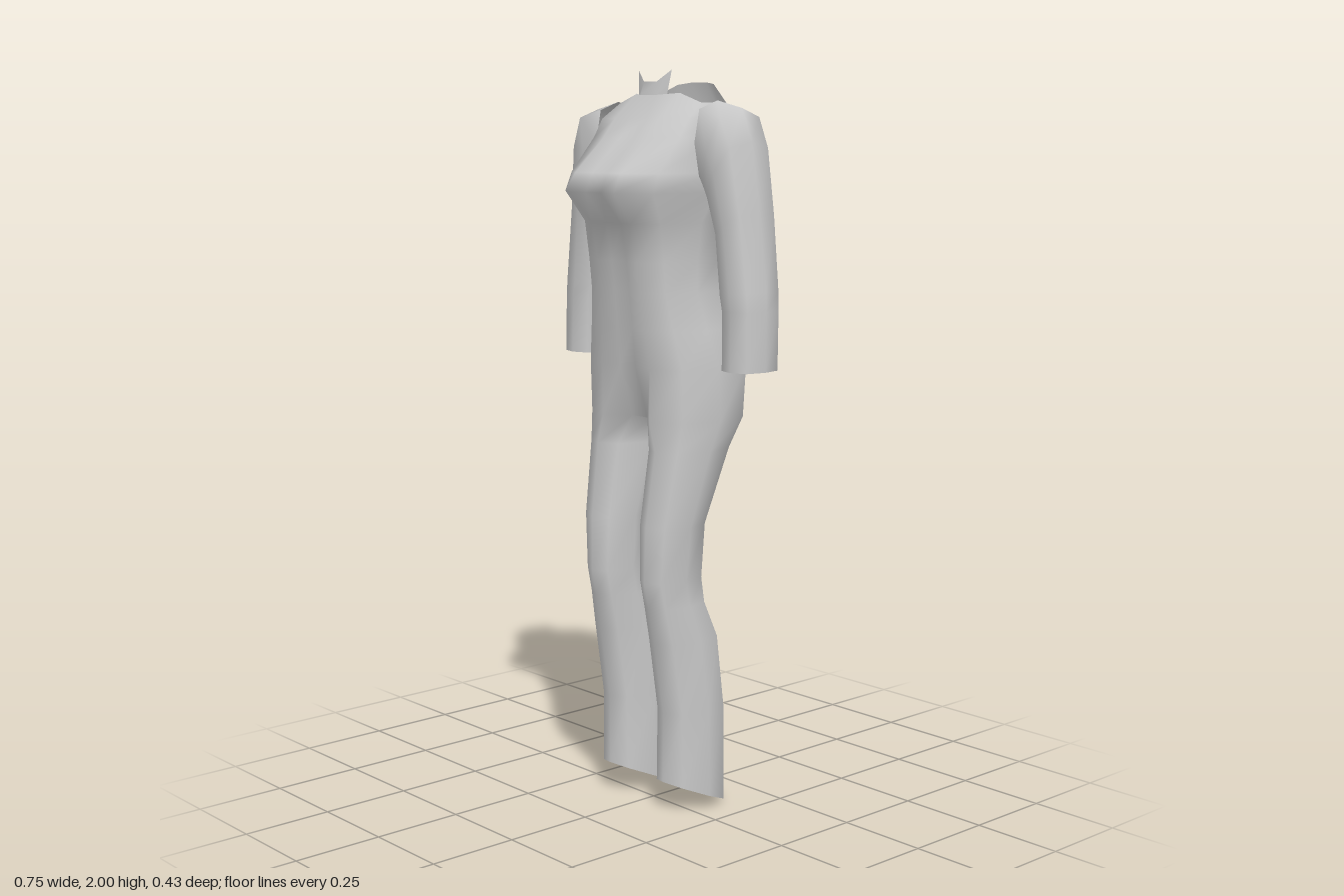
import * as THREE from 'three';
import { mergeGeometries, mergeVertices } from 'three/addons/utils/BufferGeometryUtils.js';

// Skin a list of rings; rings run front -> +x -> back, rows run top -> bottom
function loft(rows, closed = true) {
  const n = rows[0].length;
  const index = [];
  for (let r = 0; r < rows.length - 1; r++) {
    for (let i = 0; i < (closed ? n : n - 1); i++) {
      const j = (i + 1) % n;
      const a = r * n + i, b = r * n + j, c = a + n, d = b + n;
      index.push(a, c, b, b, c, d);
    }
  }
  const g = new THREE.BufferGeometry();
  g.setAttribute('position', new THREE.Float32BufferAttribute(rows.flat(2), 3));
  g.setIndex(index);
  return g;
}

// Weld several skins into one smooth surface
function weld(parts) {
  const g = mergeVertices(mergeGeometries(parts), 1e-4);
  g.computeVertexNormals();
  return g;
}

const flip = ([x, y, z]) => [-x, y, z];
const mirrorRing = (ring) => ring.map(flip).reverse();
const fullRing = (half) => [...half, ...mirrorRing(half)];

// Half cross-section of the torso, from front centre round to back centre
function torsoHalf([y, w, front, mid, back]) {
  const f = front - mid, b = back - mid;
  return [
    [0.03, y, front - 0.008], [0.45 * w, y, front], [0.87 * w, y, mid + 0.76 * f],
    [w, y, mid],
    [0.87 * w, y, mid + 0.72 * b], [0.45 * w, y, mid + 0.96 * b], [0.03, y, back],
  ];
}

// Eight-sided leg ring; the hem slopes down towards the back
function legRing([y, inner, outer, front, back, yBack = y]) {
  const c = (inner + outer) / 2, h = (outer - inner) / 2;
  const m = (front + back) / 2, d = (front - back) / 2;
  const shape = [[-0.62, 0.78], [0, 1], [0.68, 0.78], [1, 0], [0.68, -0.78], [0, -1], [-0.62, -0.78], [-1, 0]];
  return shape.map(([u, v]) => [c + u * h, THREE.MathUtils.lerp(yBack, y, (v + 1) / 2), m + v * d]);
}

// Sleeve ring spanned by an outer and an inner point
function armRing([ox, oy, ix, iy, front, back]) {
  return Array.from({ length: 8 }, (_, i) => {
    const t = (i / 8) * Math.PI * 2;
    const s = Math.sin(t) / 2, c = Math.cos(t);
    const k = i % 2 ? 1.12 : 1;
    return [
      (ox + ix) / 2 + (ox - ix) * s * k,
      (oy + iy) / 2 + (oy - iy) * s * k,
      (front + back) / 2 + ((front - back) / 2) * c * k,
    ];
  });
}

export function createModel() {
  const group = new THREE.Group();
  const cloth = new THREE.MeshStandardMaterial({ color: 0xc8c8c8, side: THREE.DoubleSide });
  cloth.name = 'greyCloth';
  const add = (name, geometry) => {
    const mesh = new THREE.Mesh(geometry, cloth);
    mesh.name = name;
    group.add(mesh);
  };

  // Torso: neckline, chest, waist, hips, crotch
  const neckline = [
    [0.03, 1.93, 0.02], [0.085, 1.935, -0.015], [0.16, 1.91, -0.02],
    [0.195, 1.91, -0.06],
    [0.165, 1.91, -0.105], [0.07, 1.96, -0.15], [0.03, 1.965, -0.16],
  ];
  const torso = [
    [1.87, 0.197, 0.06, -0.055, -0.172],
    [1.82, 0.195, 0.1, -0.05, -0.165],
    [1.73, 0.2, 0.195, -0.04, -0.15],
    [1.68, 0.203, 0.218, -0.03, -0.14],
    [1.6, 0.175, 0.15, -0.01, -0.13],
    [1.5, 0.172, 0.13, 0, -0.128],
    [1.42, 0.171, 0.12, 0, -0.14],
    [1.32, 0.19, 0.11, -0.02, -0.195],
    [1.22, 0.213, 0.1, -0.04, -0.215],
  ].map(torsoHalf);
  const crotch = torsoHalf([1.08, 0.21, 0.1, -0.05, -0.2]);
  crotch[0][2] = 0.05;
  crotch[6][2] = -0.15;

  // Legs hang from the two halves of the crotch ring
  const legTop = [...crotch, [0.03, 1.08, -0.05]];
  const leg = [legTop, ...[
    [1.0, 0.03, 0.203, 0.1, -0.14],
    [0.8, 0.036, 0.185, 0.127, -0.06],
    [0.65, 0.043, 0.172, 0.13, -0.057],
    [0.58, 0.043, 0.173, 0.115, -0.067],
    [0.48, 0.038, 0.184, 0.098, -0.11],
    [0.28, 0.035, 0.188, 0.065, -0.132],
    [0.085, 0.03, 0.19, 0.065, -0.135, 0],
  ].map(legRing)];
  const gusset = [0, 7, 6].map((i) => [flip(legTop[i]), legTop[i]]);
  add('bodySuit', weld([
    loft([neckline, ...torso, crotch].map(fullRing)),
    loft(leg),
    loft(leg.map(mirrorRing)),
    loft(gusset, false),
  ]));

  // Small stand-up collar at the front of the neck
  const collarTop = [[0.025, 1.965, 0.012], [0.065, 1.995, -0.005]];
  const collarBase = [[0.03, 1.93, 0.02], [0.055, 1.93, 0.003]];
  const strip = (half) => [...half.map(flip).reverse(), ...half];
  add('frontCollar', weld([loft([strip(collarTop), strip(collarBase)], false)]));

  // Sleeves, from the shoulder seam to the open cuff
  const arm = [
    [0.195, 1.915, 0.195, 1.7, 0.035, -0.125],
    [0.285, 1.895, 0.205, 1.68, 0.042, -0.135],
    [0.32, 1.81, 0.215, 1.655, 0.038, -0.135],
    [0.345, 1.63, 0.235, 1.57, 0.025, -0.133],
    [0.372, 1.43, 0.247, 1.42, 0.02, -0.125],
    [0.375, 1.38, 0.257, 1.38, 0.02, -0.122],
    [0.375, 1.225, 0.26, 1.225, 0.022, -0.12],
  ].map(armRing);
  add('leftSleeve', weld([loft(arm)]));
  add('rightSleeve', weld([loft(arm.map(mirrorRing))]));

  return group;
}
